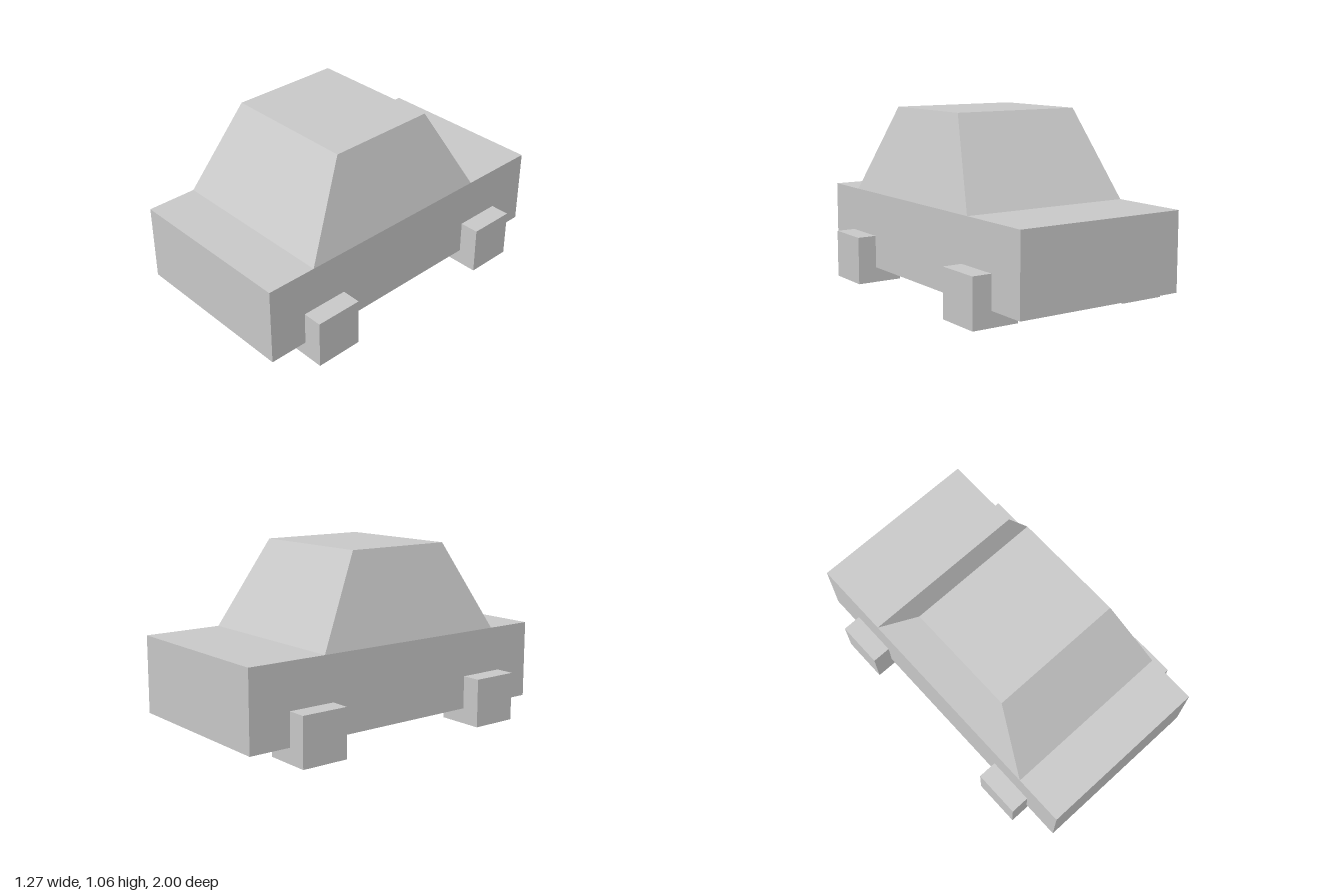
import * as THREE from 'three';

const material = new THREE.MeshStandardMaterial({ color: 0xcccccc, flatShading: true });

// Box given by its lower and upper corners
function box(name, [x0, y0, z0], [x1, y1, z1]) {
  const geometry = new THREE.BoxGeometry(x1 - x0, y1 - y0, z1 - z0);
  geometry.translate((x0 + x1) / 2, (y0 + y1) / 2, (z0 + z1) / 2);
  const mesh = new THREE.Mesh(geometry, material);
  mesh.name = name;
  return mesh;
}

export function createModel() {
  const car = new THREE.Group();
  car.name = 'car';

  // Lower body: bonnet, sides and boot in one block
  car.add(box('body', [-0.525, 0.09, -1], [0.521, 0.545, 1]));

  // Cabin: a block whose top is drawn in to the roof outline
  const cabin = box('cabin', [-0.525, 0.545, -0.527], [0.521, 1.058, 0.703]);
  const p = cabin.geometry.attributes.position;
  for (let i = 0; i < p.count; i++) {
    if (p.getY(i) < 0.8) continue;
    p.setX(i, p.getX(i) > 0 ? 0.393 : -0.398);
    p.setZ(i, p.getZ(i) > 0 ? 0.415 : -0.24);
  }
  cabin.geometry.computeVertexNormals();
  car.add(cabin);

  // Square wheels, standing out from the sides and below the floor
  for (const [end, z] of [['front', 0.63], ['rear', -0.612]]) {
    for (const [side, x] of [['Left', 0.496], ['Right', -0.498]]) {
      car.add(box(`${end}${side}Wheel`, [x - 0.14, 0, z - 0.141], [x + 0.14, 0.283, z + 0.141]));
    }
  }
  return car;
}
